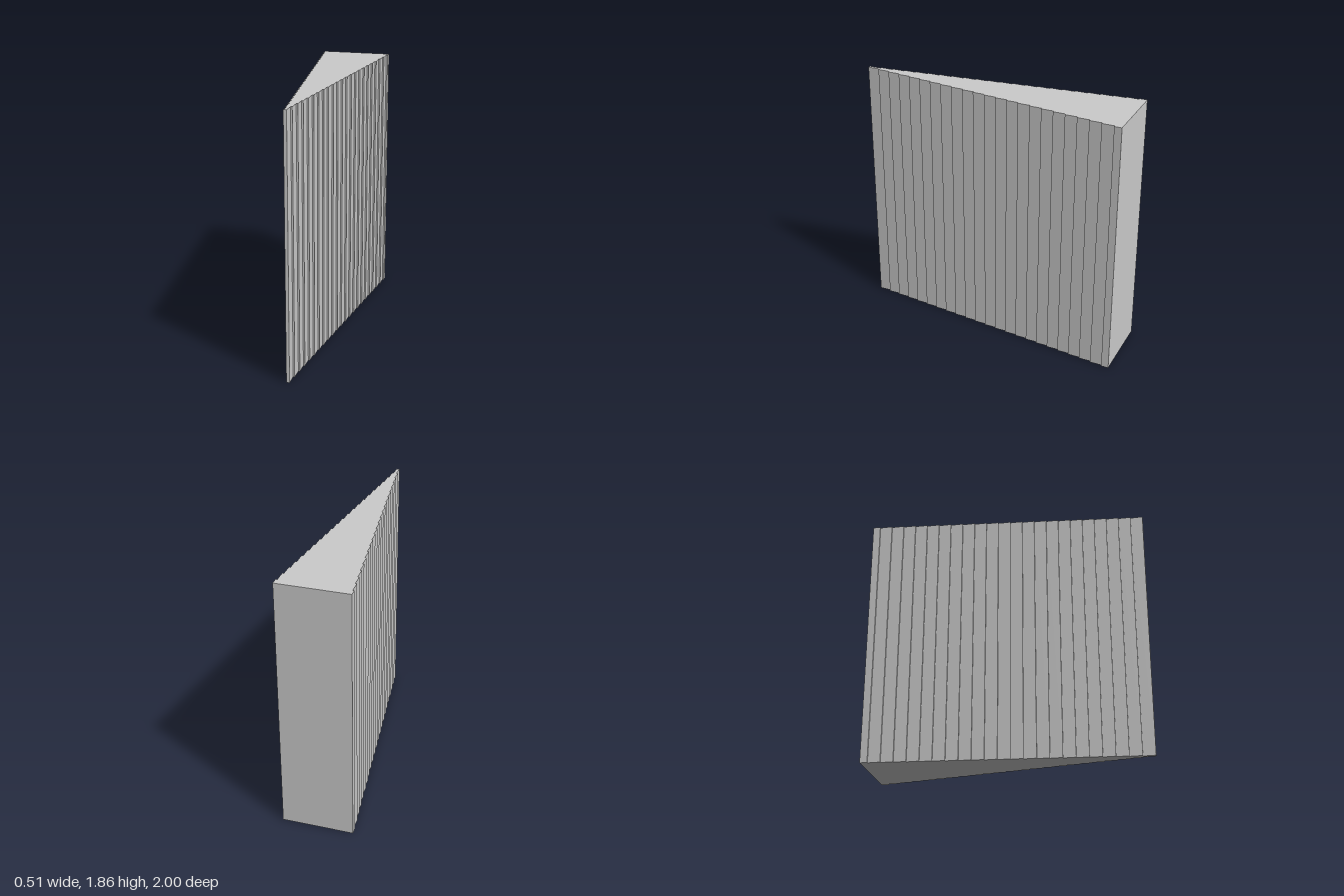
import * as THREE from 'three';

export function createModel() {
  const group = new THREE.Group();
  const height = 1.86, steps = 23, depth = 0.0885, widen = 0.01104;

  // Stepped half outline from the narrow front tip (+z) to the wide back (-z)
  const right = [];
  for (let i = 0; i < steps; i++) {
    const x = widen * (i + 1);
    right.push([x, 1 - i * depth], [x, Math.max(-1, 1 - (i + 1) * depth)]);
  }
  const left = right.map(([x, z]) => [-x, z]).reverse();

  // Shape y becomes -z once the extrusion is stood upright
  const outline = new THREE.Shape([...right, ...left].map(([x, z]) => new THREE.Vector2(x, -z)));
  const geometry = new THREE.ExtrudeGeometry(outline, { depth: height, bevelEnabled: false });
  geometry.rotateX(-Math.PI / 2);

  const wedge = new THREE.Mesh(geometry, new THREE.MeshStandardMaterial({ color: 0xcccccc, flatShading: true }));
  wedge.name = 'steppedWedge';
  group.add(wedge);
  return group;
}
